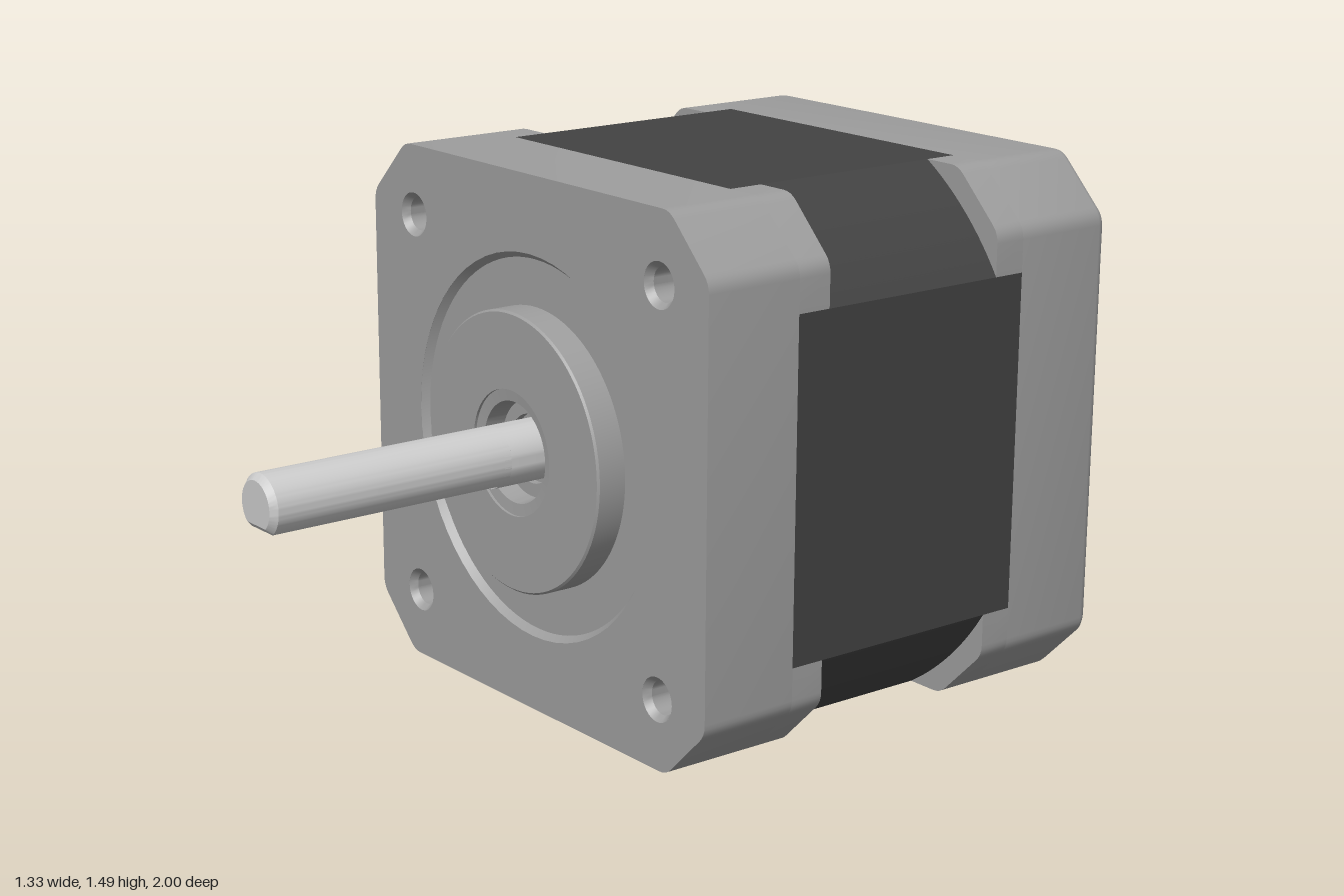
import * as THREE from 'three';
import { toCreasedNormals } from 'three/addons/utils/BufferGeometryUtils.js';

const H = 0.665;      // half width of the square housing
const F = 0.42;       // half width of the flat stator sides
const R = Math.hypot(H, F);
const A = Math.atan2(F, H);
const CY = 0.82;      // height of the motor axis
const S = 0.49;       // screw offset from the axis

const mat = (color) => new THREE.MeshStandardMaterial({ color });
const mats = {
  metal: mat(0xcccccc), cap: mat(0x9e9e9e), stator: mat(0x434343), screw: mat(0x86aadd),
  copper: mat(0xd08060), blue: mat(0x1010e0), orange: mat(0xff8010), black: mat(0x404040),
};

function add(parent, name, geometry, material, x = 0, y = 0, z = 0) {
  const mesh = new THREE.Mesh(toCreasedNormals(geometry, 0.5), material);
  mesh.name = name;
  mesh.position.set(x, y, z);
  parent.add(mesh);
  return mesh;
}

const extrude = (shape, depth, options = {}) =>
  new THREE.ExtrudeGeometry(shape, { depth, bevelEnabled: false, curveSegments: 32, ...options });

// Revolve [radius, z] pairs about the z axis
const lathe = (pairs, segments = 96) =>
  new THREE.LatheGeometry(pairs.map(([r, z]) => new THREE.Vector2(r, z)), segments).rotateX(Math.PI / 2);

const circle = (r, x = 0, y = 0) => new THREE.Path().absarc(x, y, r, 0, Math.PI * 2);

const corners = [[S, S], [-S, S], [-S, -S], [S, -S]];

// Softened chamfer of one housing corner, turned by quarter q
function chamferPoints(q) {
  const pts = [];
  const c = 0.525, d = 0.025, k = d * Math.SQRT1_2;
  const bend = (a, b, e) => pts.push(...new THREE.QuadraticBezierCurve(
    new THREE.Vector2(...a), new THREE.Vector2(...b), new THREE.Vector2(...e)).getPoints(4));
  bend([H, c - d], [H, c], [H - k, c + k]);
  bend([c + k, H - k], [c, H], [c - d, H]);
  return pts.map((p) => p.rotateAround(new THREE.Vector2(), q * Math.PI / 2));
}

const housingShape = () => new THREE.Shape([0, 1, 2, 3].flatMap(chamferPoints));

function roundedRect(w, h, r) {
  const s = new THREE.Shape();
  s.absarc(w - r, h - r, r, 0, Math.PI / 2);
  s.absarc(-w + r, h - r, r, Math.PI / 2, Math.PI);
  s.absarc(-w + r, -h + r, r, Math.PI, Math.PI * 1.5);
  s.absarc(w - r, -h + r, r, Math.PI * 1.5, Math.PI * 2);
  return s;
}

// Corner lugs that reach from a cap over the rounded stator corners
function addLugs(parent, z0, depth) {
  const shape = new THREE.Shape([new THREE.Vector2(H, F), ...chamferPoints(0), new THREE.Vector2(F, H)]);
  shape.absarc(0, 0, R, Math.PI / 2 - A, A, true);
  for (let q = 0; q < 4; q++) {
    add(parent, 'cornerLug', extrude(shape, depth), mats.cap, 0, 0, z0).rotation.z = q * Math.PI / 2;
  }
}

function buildStator() {
  const shape = new THREE.Shape();
  for (let q = 0; q < 4; q++) {
    shape.absarc(0, 0, R, q * Math.PI / 2 + A, (q + 1) * Math.PI / 2 - A);
  }
  const g = new THREE.Group();
  g.name = 'stator';
  add(g, 'statorStack', extrude(shape, 0.695), mats.stator, 0, 0, -0.715);
  return g;
}

function buildFrontCap() {
  const g = new THREE.Group();
  g.name = 'frontCap';
  const shape = housingShape();
  shape.holes.push(circle(0.475), ...corners.map(([x, y]) => circle(0.055, x, y)));
  add(g, 'frontPlate', extrude(shape, 0.26), mats.cap, 0, 0, -0.02);
  addLugs(g, -0.11, 0.09);
  // Shallow ring recess, raised pilot boss and stepped bearing bore
  add(g, 'pilotBoss', lathe([
    [0.475, 0.24], [0.46, 0.222], [0.345, 0.222], [0.345, 0.295], [0.34, 0.3], [0.155, 0.3],
    [0.155, 0.293], [0.125, 0.29], [0.118, 0.24], [0.085, 0.24], [0.085, 0.22], [0, 0.22],
  ]), mats.cap);
  for (const [x, y] of corners) {
    add(g, 'screwHole', lathe([[0.055, 0.24], [0.042, 0.222], [0.042, 0.1]], 32), mats.cap, x, y);
    add(g, 'screwTip', lathe([[0.042, 0], [0.042, 0.12], [0, 0.12]], 32), mats.screw, x, y);
  }
  return g;
}

// Screw head with a cross recess, facing +z
function buildScrew() {
  const g = new THREE.Group();
  g.name = 'rearScrew';
  const head = new THREE.Shape().absarc(0, 0, 0.072, 0, Math.PI * 2);
  const a = 0.008, b = 0.036;
  head.holes.push(new THREE.Path([
    [a, a], [a, b], [-a, b], [-a, a], [-b, a], [-b, -a],
    [-a, -a], [-a, -b], [a, -b], [a, -a], [b, -a], [b, a],
  ].map(([x, y]) => new THREE.Vector2(x, y))));
  add(g, 'screwHead', extrude(head, 0.04, {
    bevelEnabled: true, bevelSize: 0.01, bevelOffset: -0.01, bevelThickness: 0.012, bevelSegments: 3,
  }), mats.screw);
  add(g, 'crossFloor', lathe([[0.06, 0], [0.06, 0.02], [0, 0.02]], 24), mats.screw);
  return g;
}

// Built facing +z, then turned to face backwards
function buildRearCap() {
  const g = new THREE.Group();
  g.name = 'rearCap';
  const depth = 0.282, round = 0.025, steps = 5;
  const shape = housingShape();
  shape.holes.push(...corners.map(([x, y]) => circle(0.088, x, y)));
  const geo = extrude(shape, depth, { steps });
  // Round the outer rim: respace the rings and shrink the outline, leaving the holes alone
  const p = geo.attributes.position;
  for (let i = 0; i < p.count; i++) {
    const ring = Math.round(p.getZ(i) / depth * steps);
    if (ring === 0) continue;
    const t = (ring - 1) / (steps - 1) * Math.PI / 2;
    p.setZ(i, depth - round * (1 - Math.sin(t)));
    const x = p.getX(i), y = p.getY(i);
    if (Math.hypot(Math.abs(x) - S, Math.abs(y) - S) < 0.09) continue;
    const k = 1 - round / H * (1 - Math.cos(t));
    p.setXY(i, x * k, y * k);
  }
  add(g, 'rearPlate', geo, mats.cap);
  addLugs(g, -0.085, 0.085);
  add(g, 'backPanel', extrude(roundedRect(0.575, 0.36, 0.04), 0.005), mats.metal, 0, 0, 0.28);
  for (const [x, y] of corners) {
    add(g, 'counterboreFloor', new THREE.CircleGeometry(0.09, 32), mats.cap, x, y, 0.2);
    const screw = buildScrew();
    screw.position.set(x, y, 0.21);
    screw.rotation.z = 0.5;
    g.add(screw);
  }
  g.rotation.y = Math.PI;
  g.position.z = -0.715;
  return g;
}

function buildShaft() {
  const g = new THREE.Group();
  g.name = 'shaft';
  add(g, 'roundShaft', lathe([[0.075, 0.2], [0.075, 0.37], [0, 0.37]], 48), mats.metal);
  // Output length with a flat underneath
  const t = Math.asin(0.8);
  const d = new THREE.Shape().absarc(0, 0, 0.075, -t, Math.PI + t);
  add(g, 'flattedShaft', extrude(d, 0.635, {
    bevelEnabled: true, bevelSize: 0.015, bevelOffset: -0.015, bevelThickness: 0.015, bevelSegments: 1,
  }), mats.metal, 0, 0, 0.35);
  return g;
}

function buildLeads() {
  const g = new THREE.Group();
  g.name = 'leads';
  const frame = roundedRect(0.125, 0.09, 0.005);
  frame.holes.push(roundedRect(0.09, 0.055, 0.005));
  add(g, 'leadFrame', extrude(frame, 0.012).rotateX(-Math.PI / 2), mats.metal, 0, 0.146, -0.83);
  const wires = [[0.03, -0.8, 'metal'], [-0.03, -0.8, 'blue'], [0.03, -0.86, 'black'], [-0.03, -0.86, 'orange']];
  for (const [x, z, color] of wires) {
    add(g, 'wireSleeve', new THREE.CylinderGeometry(0.021, 0.021, 0.125, 24), mats[color], x, 0.0975, z);
    add(g, 'wireCore', new THREE.CylinderGeometry(0.0125, 0.0125, 0.06, 16), mats.copper, x, 0.03, z);
  }
  return g;
}

export function createModel() {
  const model = new THREE.Group();
  model.name = 'stepperMotor';
  const motor = new THREE.Group();
  motor.name = 'motor';
  motor.position.y = CY;
  motor.add(buildStator(), buildFrontCap(), buildRearCap(), buildShaft());
  model.add(motor, buildLeads());
  return model;
}
